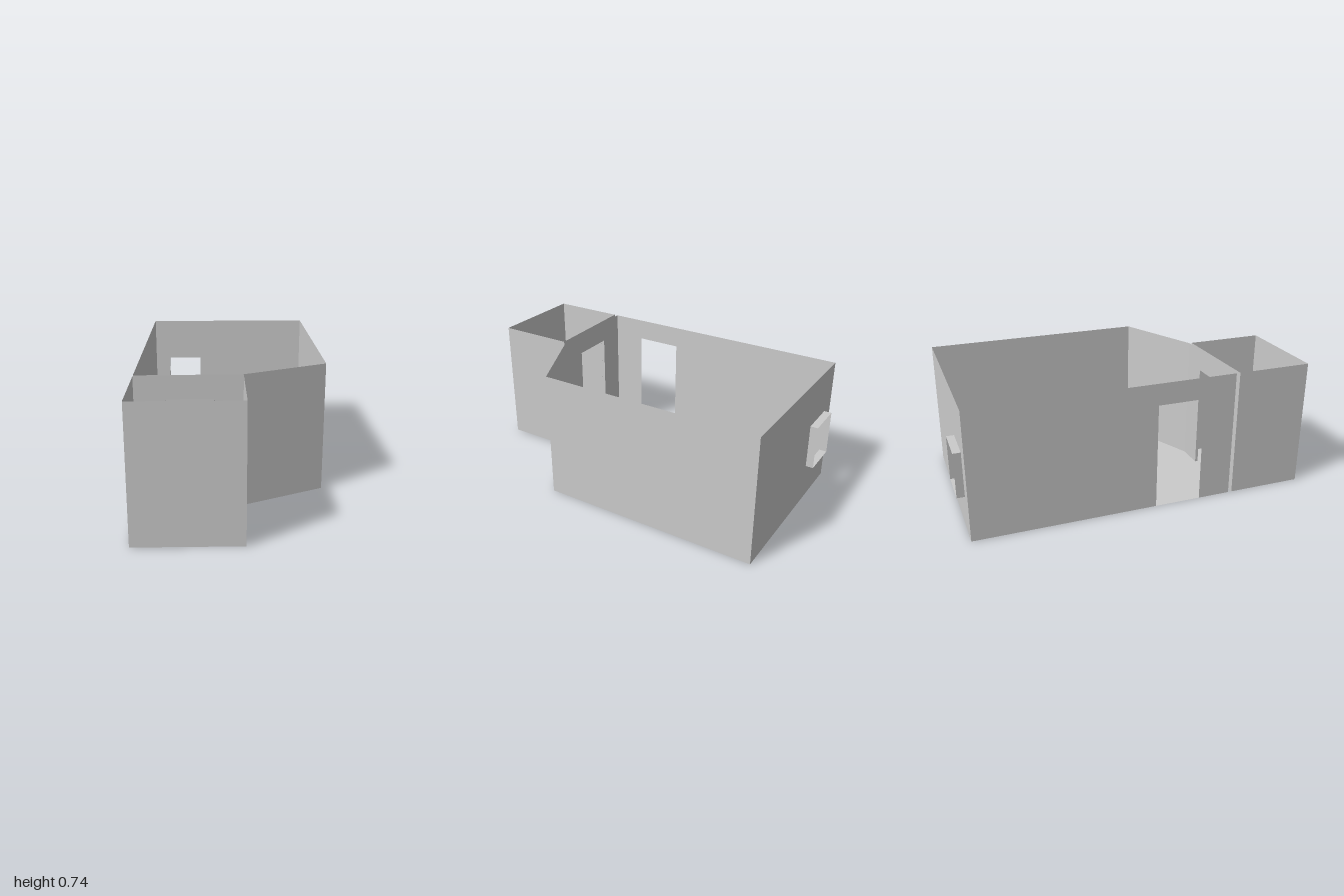
import * as THREE from 'three';

const H = 0.74;          // wall height
const DOOR_TOP = 0.615;
const material = new THREE.MeshStandardMaterial({ color: 0xcccccc, side: THREE.DoubleSide, flatShading: true });

// Plan corners as [x, z]
const mainPlan = [[-0.515, 0.545], [0.055, 0.535], [0.515, 0.315], [0.515, -0.957], [-0.515, -0.957]];
const smallPlan = [[-0.515, 1], [0.055, 1], [0.055, 0.55], [-0.515, 0.567]];

function addMesh(group, name, geometry) {
  const mesh = new THREE.Mesh(geometry, material);
  mesh.name = name;
  group.add(mesh);
  return mesh;
}

// Thin upright wall from a to b; opening = { from, to, bottom, top } measured along the wall
function addWall(group, name, a, b, opening) {
  const dx = b[0] - a[0], dz = b[1] - a[1], length = Math.hypot(dx, dz);
  const points = [[0, 0], [length, 0], [length, H], [0, H]];
  const hole = [];
  if (opening) {
    const { from, to, bottom, top } = opening;
    const corners = [[from, bottom], [from, top], [to, top], [to, bottom]];
    if (bottom === 0) points.splice(1, 0, ...corners); // doorway cuts down to the floor
    else hole.push(...corners);
  }
  const toVectors = (list) => list.map(([x, y]) => new THREE.Vector2(x, y));
  const shape = new THREE.Shape(toVectors(points));
  if (hole.length) shape.holes.push(new THREE.Path(toVectors(hole)));
  const wall = addMesh(group, name, new THREE.ShapeGeometry(shape));
  wall.position.set(a[0], 0, a[1]);
  wall.rotation.y = -Math.atan2(dz, dx);
}

function addFloor(group, name, plan) {
  const shape = new THREE.Shape(plan.map(([x, z]) => new THREE.Vector2(x, -z)));
  addMesh(group, name, new THREE.ShapeGeometry(shape).rotateX(-Math.PI / 2));
}

// Four-sided lining of an opening, joining two rectangular rims.
// zAt(x, side) gives the depth of each rim.
function addLining(group, name, x0, x1, y0, y1, zAt) {
  const rim = [[x0, y0], [x1, y0], [x1, y1], [x0, y1]];
  const positions = [], index = [];
  for (const side of [0, 1]) for (const [x, y] of rim) positions.push(x, y, zAt(x, side));
  for (let i = 0; i < 4; i++) {
    const j = (i + 1) % 4;
    index.push(i, i + 4, j, j, i + 4, j + 4);
  }
  const geometry = new THREE.BufferGeometry();
  geometry.setAttribute('position', new THREE.Float32BufferAttribute(positions, 3));
  geometry.setIndex(index);
  const flat = geometry.toNonIndexed();
  flat.computeVertexNormals();
  addMesh(group, name, flat);
}

export function createModel() {
  const model = new THREE.Group();
  model.name = 'roofless rooms';
  const left = -0.515, back = -0.957;

  // Main room
  const mainRoom = new THREE.Group();
  mainRoom.name = 'mainRoom';
  const inner = { from: 0.165, to: 0.417, bottom: 0, top: DOOR_TOP };
  const mainOpenings = [
    inner,
    null,
    null,
    { from: 0.715, to: 0.935, bottom: 0.215, top: 0.472 },
    { from: 0.087 - back, to: 0.355 - back, bottom: 0, top: DOOR_TOP },
  ];
  const mainNames = ['partitionWall', 'angledWall', 'rightWall', 'backWall', 'entranceWall'];
  mainPlan.forEach((a, i) =>
    addWall(mainRoom, mainNames[i], a, mainPlan[(i + 1) % mainPlan.length], mainOpenings[i]));
  addFloor(mainRoom, 'mainFloor', mainPlan);
  model.add(mainRoom);

  // Small front room
  const smallRoom = new THREE.Group();
  smallRoom.name = 'smallRoom';
  const smallNames = ['frontWall', 'sideWallRight', 'smallPartitionWall', 'sideWallLeft'];
  smallPlan.forEach((a, i) => {
    const opening = i === 2 ? { ...inner, from: 0.57 - inner.to, to: 0.57 - inner.from } : null;
    addWall(smallRoom, smallNames[i], a, smallPlan[(i + 1) % 4], opening);
  });
  addFloor(smallRoom, 'smallFloor', smallPlan);
  model.add(smallRoom);

  // Lining and threshold of the inner doorway, bridging the gap between the rooms
  const along = (x, z0, z1) => z0 + (z1 - z0) * (x - left) / 0.57;
  addLining(model, 'innerDoorLining', left + inner.from, left + inner.to, 0, DOOR_TOP,
    (x, side) => (side ? along(x, 0.567, 0.55) : along(x, 0.545, 0.535)));

  // Window lining standing out from the back wall
  addLining(model, 'windowLining', -0.42, -0.2, 0.215, 0.472, (x, side) => (side ? -1 : back));

  return model;
}
